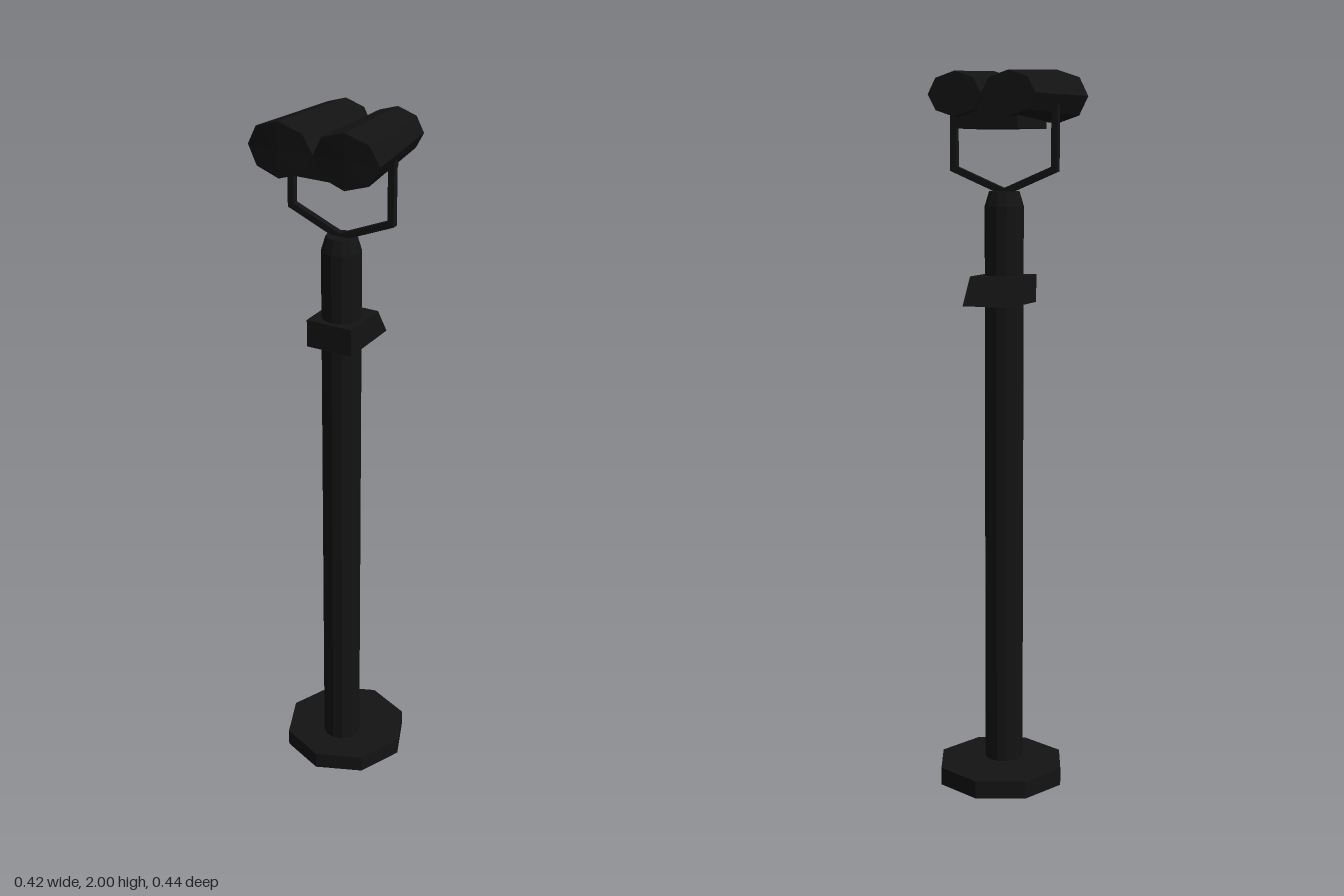
import * as THREE from 'three';

const dark = new THREE.MeshStandardMaterial({ color: 0x131313, flatShading: true });

function add(parent, name, geometry, x = 0, y = 0, z = 0) {
  const mesh = new THREE.Mesh(geometry, dark);
  mesh.name = name;
  mesh.position.set(x, y, z);
  parent.add(mesh);
  return mesh;
}

// Square bar in the plane x = 0, from (y, z) to (y, z)
function bar(parent, name, [y0, z0], [y1, z1], width) {
  const length = Math.hypot(y1 - y0, z1 - z0);
  const mesh = add(parent, name, new THREE.BoxGeometry(width, length + width * 0.7, width),
    0, (y0 + y1) / 2, (z0 + z1) / 2);
  mesh.rotation.x = Math.atan2(z1 - z0, y1 - y0);
}

// Tapered, flattened eight-sided barrel whose inner edge lies along z = 0
function barrel(side) {
  const front = 0.077, rear = 0.095, length = 0.299;
  const geo = new THREE.CylinderGeometry(front, rear, length, 8);
  geo.rotateZ(-Math.PI / 2);
  geo.scale(1, 0.77, 1);
  const pos = geo.attributes.position;
  for (let i = 0; i < pos.count; i++) {
    const atRear = pos.getX(i) < 0, r = atRear ? rear : front, z = pos.getZ(i);
    if (atRear) pos.setX(i, pos.getX(i) - 0.009 * (1 - (z / r) ** 2)); // slightly bowed end
    pos.setZ(i, z + side * r);
  }
  geo.computeVertexNormals();
  return geo;
}

export function createModel() {
  const model = new THREE.Group();
  model.name = 'binocularViewer';

  // Everything is turned about the post; +x is the viewing axis inside this group
  const body = new THREE.Group();
  body.name = 'viewerBody';
  body.position.z = -0.01;
  body.rotation.y = 0.43;
  model.add(body);

  // Octagonal foot and post with a chamfered top
  add(body, 'base', new THREE.CylinderGeometry(0.183, 0.183, 0.05, 8), 0.034, 0.025, -0.005);
  add(body, 'post', new THREE.CylinderGeometry(0.054, 0.054, 1.58, 12), 0, 0.84, 0);
  add(body, 'postCap', new THREE.CylinderGeometry(0.042, 0.054, 0.04, 12), 0, 1.65, 0);

  // Collar with a sloping face
  const profile = new THREE.Shape([[-0.068, 0], [0.129, 0], [0.079, 0.077], [-0.068, 0.077]]
    .map(([x, y]) => new THREE.Vector2(x, y)));
  const collar = new THREE.ExtrudeGeometry(profile, { depth: 0.136, bevelEnabled: false });
  add(body, 'collar', collar, 0, 1.364, -0.068);

  // Yoke, mirrored left and right
  for (const s of [-1, 1]) {
    bar(body, 'yokeArm', [1.73, s * 0.149], [1.9, s * 0.149], 0.018);
    bar(body, 'yokeBrace', [1.668, 0], [1.73, s * 0.149], 0.018);
  }

  // Plate under the barrels, and the barrels
  add(body, 'mountPlate', new THREE.BoxGeometry(0.206, 0.07, 0.188), 0.03, 1.872, 0);
  for (const s of [-1, 1]) add(body, 'barrel', barrel(s), 0.008, 1.926, 0);

  return model;
}
